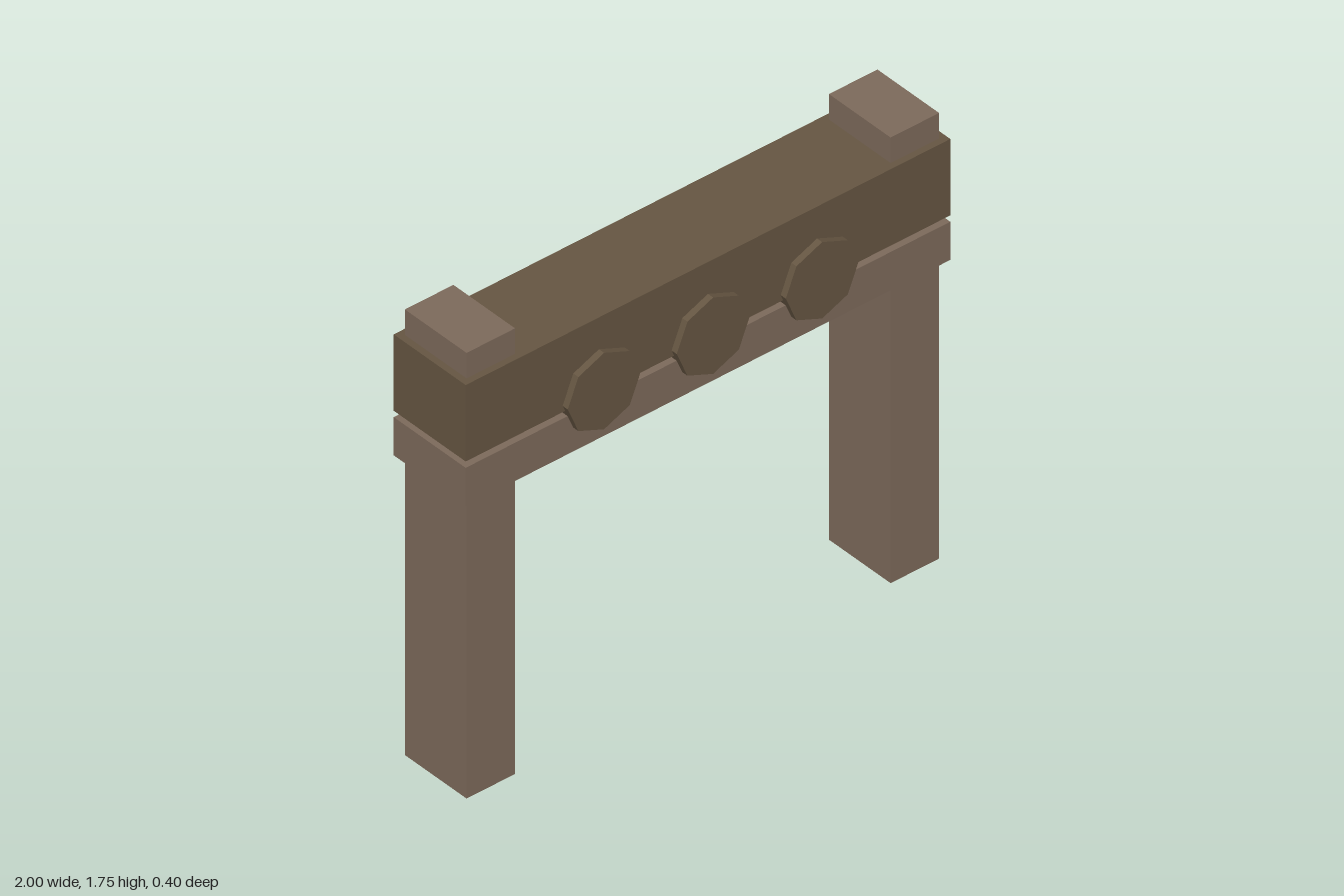
import * as THREE from 'three';

export function createModel() {
  const model = new THREE.Group();
  const lightWood = new THREE.MeshStandardMaterial({ color: 0x7d6a5b, flatShading: true });
  const darkWood = new THREE.MeshStandardMaterial({ color: 0x665642, flatShading: true });

  function add(name, geometry, material, x, y, z = 0) {
    const mesh = new THREE.Mesh(geometry, material);
    mesh.name = name;
    mesh.position.set(x, y, z);
    model.add(mesh);
    return mesh;
  }

  // Upright posts
  const post = new THREE.BoxGeometry(0.2, 1.75, 0.3);
  add('leftPost', post, lightWood, 0.875, 0.875);
  add('rightPost', post, lightWood, -0.875, 0.875);

  // Two crossbeams with a narrow gap between them
  add('lowerBeam', new THREE.BoxGeometry(2, 0.15, 0.35), lightWood, 0, 1.25);
  add('upperBeam', new THREE.BoxGeometry(2, 0.3, 0.35), darkWood, 0, 1.5);

  // Octagonal plugs running through both beams
  const plug = new THREE.CylinderGeometry(0.15, 0.15, 0.4, 8).rotateX(Math.PI / 2);
  ['rightPlug', 'middlePlug', 'leftPlug'].forEach((name, i) => {
    add(name, plug, darkWood, (i - 1) * 0.45, 1.375);
  });

  return model;
}
